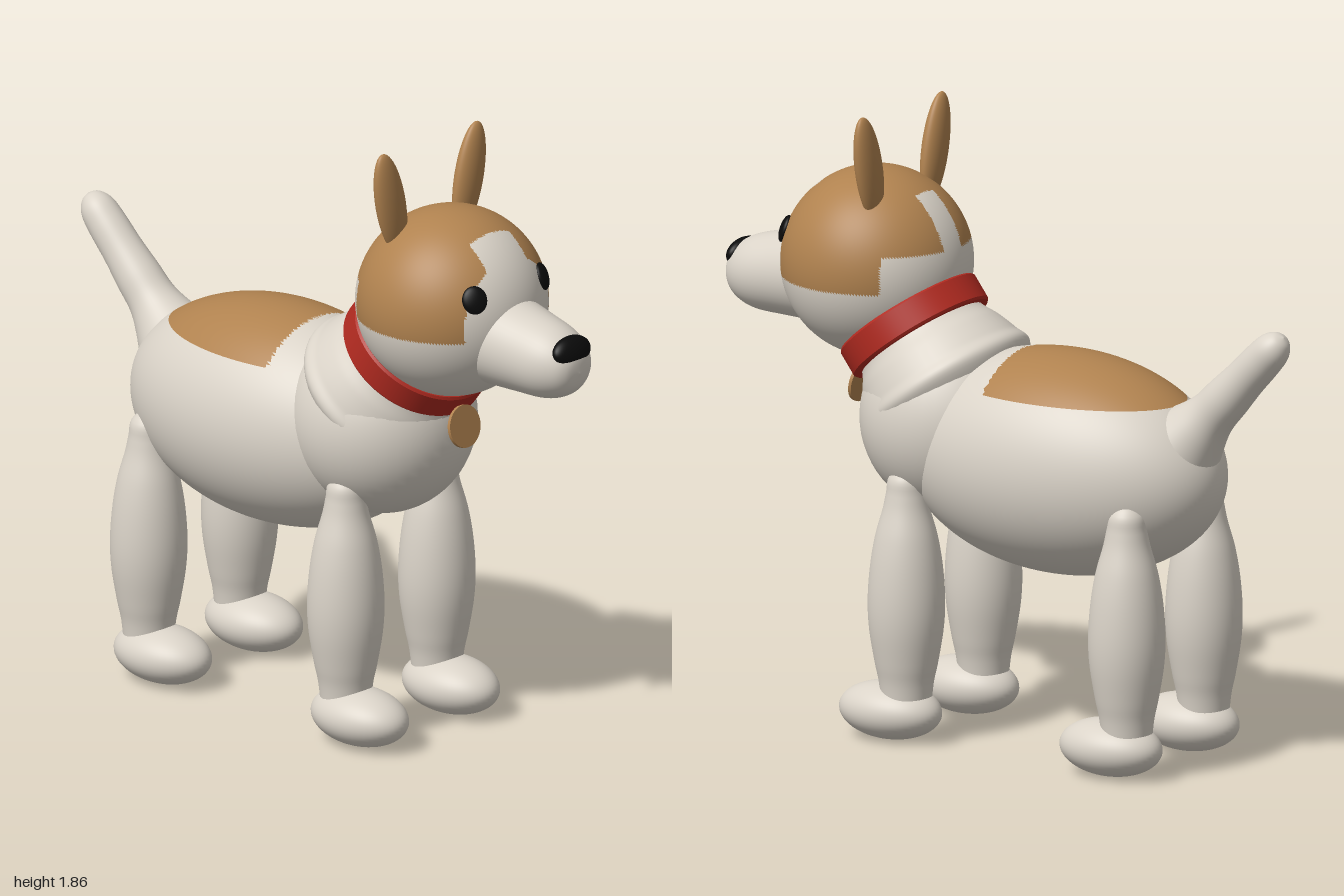
import * as THREE from 'three';
import { toCreasedNormals } from 'three/addons/utils/BufferGeometryUtils.js';

const material = (name, color) => {
  const m = new THREE.MeshStandardMaterial({ color });
  m.name = name;
  return m;
};

export function createModel() {
  const dog = new THREE.Group();
  dog.name = 'dog';
  const cream = material('cream coat', 0xdad3c8);
  const tan = material('tan patches', 0xb0824f);
  const black = material('black', 0x0b0b0b);
  const red = material('red collar', 0xb02a20);

  const add = (name, geometry, mat) => {
    const mesh = new THREE.Mesh(geometry, mat);
    mesh.name = name;
    dog.add(mesh);
    return mesh;
  };

  const ellipsoid = (name, mat, center, radii, w = 48, h = 32) => {
    const mesh = add(name, new THREE.SphereGeometry(1, w, h).scale(...radii), mat);
    mesh.position.set(...center);
    return mesh;
  };

  // Round limb along the line from a to b; profile is [radius, distance from a]
  const limb = (name, mat, a, b, profile) => {
    const curve = new THREE.SplineCurve(profile.map(p => new THREE.Vector2(...p)));
    const points = curve.getPoints(48).map(p => new THREE.Vector2(Math.max(p.x, 0), p.y));
    const mesh = add(name, new THREE.LatheGeometry(points, 48), mat);
    const start = new THREE.Vector3(...a);
    const direction = new THREE.Vector3(...b).sub(start).normalize();
    mesh.position.copy(start);
    mesh.quaternion.setFromUnitVectors(new THREE.Vector3(0, 1, 0), direction);
    return mesh;
  };

  // Sort faces into two material groups, by where each face centre lies in the model
  const paint = (mesh, base, patch, isPatch) => {
    const g = mesh.geometry, pos = g.attributes.position, faces = [[], []];
    const v = new THREE.Vector3(), c = new THREE.Vector3();
    for (let i = 0; i < g.index.count; i += 3) {
      const corners = [0, 1, 2].map(k => g.index.getX(i + k));
      c.set(0, 0, 0);
      corners.forEach(k => c.add(v.fromBufferAttribute(pos, k)));
      c.divideScalar(3).add(mesh.position);
      faces[isPatch(c) ? 1 : 0].push(...corners);
    }
    g.setIndex([...faces[0], ...faces[1]]);
    g.addGroup(0, faces[0].length, 0);
    g.addGroup(faces[0].length, faces[1].length, 1);
    mesh.material = [base, patch];
  };

  // Torso with a tan saddle
  const body = ellipsoid('body', cream, [0, 0.87, -0.2], [0.32, 0.335, 0.54], 160, 100);
  paint(body, cream, tan, p => p.y > 1.09 && p.z < -0.06);
  ellipsoid('chest', cream, [0, 0.95, 0.2], [0.28, 0.29, 0.28]);

  // Neck, flaring into the chest
  limb('neck', cream, [0, 0.963, 0.162], [0, 1.2, 0.345], [
    [0.2, 0], [0.27, 0.086], [0.256, 0.14], [0.232, 0.2], [0.203, 0.255], [0.19, 0.32], [0.185, 0.4],
  ]);

  // Head with tan sides, a forehead blaze and a stripe at the back
  const head = ellipsoid('head', cream, [0, 1.38, 0.48], [0.285, 0.285, 0.285], 200, 120);
  paint(head, cream, tan, p => {
    const x = Math.abs(p.x);
    const blaze = x < 0.085 && p.z > 0.63;
    const nape = p.z < 0.31 && (x < 0.045 || p.y < 1.45);
    return p.y > 1.34 && p.z < 0.7 && !blaze && !nape;
  });

  limb('muzzle', cream, [0, 1.32, 0.6], [0, 1.275, 1], [
    [0.15, 0], [0.14, 0.1], [0.127, 0.2], [0.112, 0.3], [0.085, 0.36], [0.05, 0.39], [0, 0.4],
  ]);
  const nose = ellipsoid('nose', black, [0, 1.338, 0.962], [0.074, 0.045, 0.032]);
  nose.rotation.x = -0.35;

  for (const side of [1, -1]) {
    const label = side > 0 ? 'left' : 'right';

    const ear = ellipsoid(label + 'Ear', tan, [side * 0.168, 1.7, 0.39], [0.055, 0.165, 0.031]);
    ear.rotation.z = -side * 0.22;

    const eye = ellipsoid(label + 'Eye', black, [side * 0.145, 1.47, 0.708], [0.038, 0.042, 0.016], 32, 20);
    eye.quaternion.setFromUnitVectors(
      new THREE.Vector3(0, 0, 1),
      new THREE.Vector3(side * 0.145, 0.09, 0.228).normalize());

    // Legs and paws
    for (const [end, z] of [['Front', 0.235], ['Hind', -0.56]]) {
      limb(label + end + 'Leg', cream, [side * 0.195, 0.06, z], [side * 0.195, 1, z], [
        [0.07, 0], [0.08, 0.11], [0.094, 0.18], [0.11, 0.28], [0.114, 0.37],
        [0.107, 0.47], [0.092, 0.56], [0.07, 0.64], [0.06, 0.69], [0.05, 0.74], [0, 0.79],
      ]);
      ellipsoid(label + end + 'Paw', cream, [side * 0.195, 0.086, z + 0.057], [0.113, 0.086, 0.168]);
    }
  }

  // Raised tail
  limb('tail', cream, [0, 0.97, -0.62], [0, 1.35, -0.985], [
    [0.13, 0], [0.094, 0.09], [0.074, 0.16], [0.069, 0.24], [0.062, 0.33],
    [0.059, 0.42], [0.052, 0.48], [0.03, 0.517], [0, 0.53],
  ]);

  // Tilted collar band
  const band = [[0.195, -0.045], [0.222, -0.045], [0.228, -0.038], [0.228, 0.038],
    [0.222, 0.045], [0.195, 0.045], [0.195, -0.045]].map(p => new THREE.Vector2(...p));
  const collar = add('collar', toCreasedNormals(new THREE.LatheGeometry(band, 72), 0.6), red);
  collar.position.set(0, 1.2, 0.345);
  collar.rotation.x = 0.66;

  // Round tag hanging from the collar
  const tag = add('collarTag', new THREE.CylinderGeometry(0.064, 0.064, 0.01, 40), tan);
  tag.position.set(-0.015, 1.003, 0.543);
  tag.rotation.x = Math.PI / 2 - 0.2;

  return dog;
}
